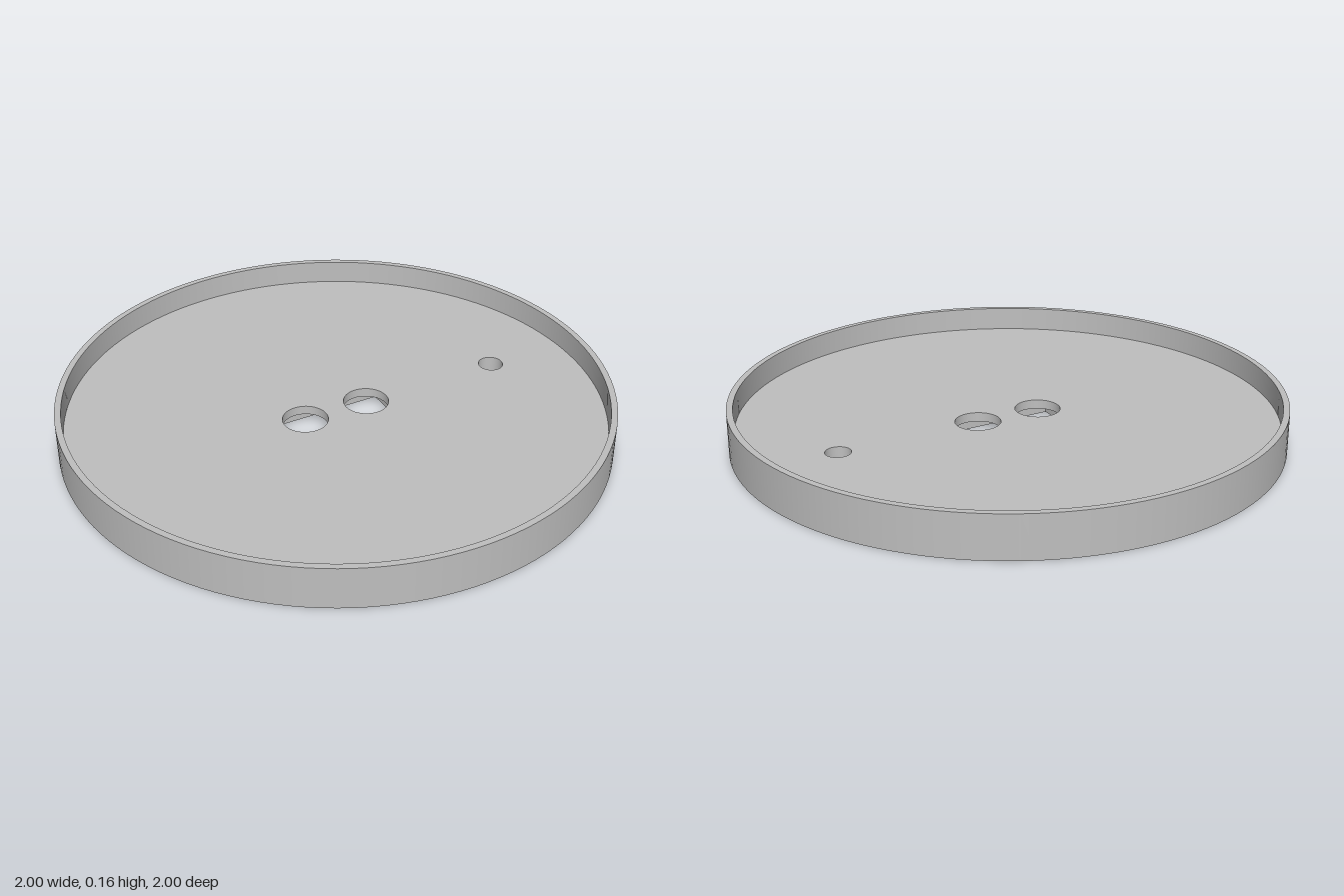
import * as THREE from 'three';

const R = 1, RIM = 0.977, H = 0.157;         // outer radius, inner radius, height
const FLOOR = 0.067, POCKET = 0.033;         // floor top, pocket ceiling
const PX = 0.22, PZ = 0.097;                 // pocket half sizes
const SEG = 128;
const bigHoles = [{ x: -0.125, r: 0.083 }, { x: 0.125, r: 0.083 }];
const smallHole = { x: 0.67, r: 0.046 };

export function createModel() {
  const group = new THREE.Group();
  const grey = new THREE.MeshStandardMaterial({ color: 0xbfbfbf });
  grey.name = 'grey';

  const add = (name, geometry) => {
    const mesh = new THREE.Mesh(geometry, grey);
    mesh.name = name;
    group.add(mesh);
    return mesh;
  };
  const circle = (r, x = 0, Type = THREE.Shape) => new Type().absarc(x, 0, r, 0, Math.PI * 2, false);
  const rect = (Type) => new Type([[-PX, -PZ], [PX, -PZ], [PX, PZ], [-PX, PZ]].map(p => new THREE.Vector2(...p)));
  const hole = ({ x, r }) => circle(r, x, THREE.Path);

  // Horizontal face with holes, facing up (1) or down (-1)
  const face = (name, outline, holes, y, dir) => {
    outline.holes.push(...holes);
    add(name, new THREE.ShapeGeometry(outline, SEG / 2).rotateX(-dir * Math.PI / 2)).position.y = y;
  };
  // Band of revolution: rising profiles face outward, falling ones inward
  const band = (name, r0, y0, r1, y1, x = 0) => {
    const profile = [new THREE.Vector2(r0, y0), new THREE.Vector2(r1, y1)];
    add(name, new THREE.LatheGeometry(profile, SEG)).position.x = x;
  };

  // Tray shell
  face('underside', circle(R), [rect(THREE.Path), hole(smallHole)], 0, -1);
  face('floor', circle(RIM), [...bigHoles, smallHole].map(hole), FLOOR, 1);
  band('outerWall', R, 0, R, H);
  band('rimTop', R, H, RIM, H);
  band('innerWall', RIM, H, RIM, FLOOR);

  // Rectangular pocket in the underside
  face('pocketCeiling', rect(THREE.Shape), bigHoles.map(hole), POCKET, -1);
  for (let i = 0; i < 4; i++) {
    const [width, distance] = i % 2 ? [PZ * 2, PX] : [PX * 2, PZ];
    const wall = new THREE.PlaneGeometry(width, POCKET).translate(0, POCKET / 2, -distance);
    add('pocketWall', wall.rotateY(i * Math.PI / 2));
  }

  // Bores of the through holes
  for (const { x, r } of bigHoles) band('holeWall', r, FLOOR, r, POCKET, x);
  band('smallHoleWall', smallHole.r, FLOOR, smallHole.r, 0, smallHole.x);

  return group;
}
